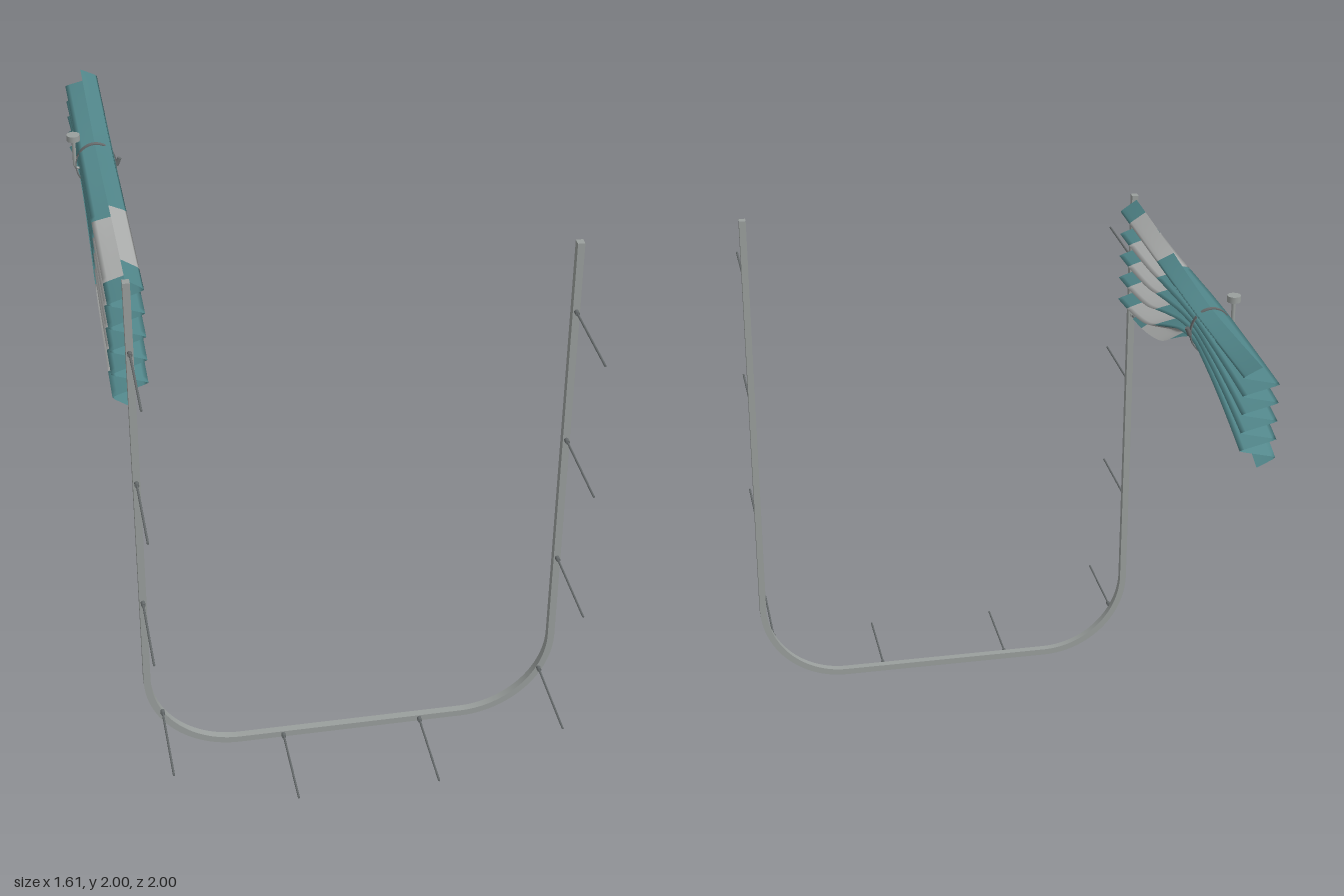
import * as THREE from 'three';
import { toCreasedNormals } from 'three/addons/utils/BufferGeometryUtils.js';

const mat = (name, color, side = THREE.FrontSide) => {
  const m = new THREE.MeshStandardMaterial({ color, side });
  m.name = name;
  return m;
};

export function createModel() {
  const root = new THREE.Group();
  root.name = 'curtainRail';
  const metal = mat('grey metal', 0x9a9f9d);
  const dark = mat('dark metal', 0x676c6d);
  const teal = mat('teal cloth', 0x51868a, THREE.DoubleSide);
  const pale = mat('pale cloth', 0xadafae, THREE.DoubleSide);

  const add = (name, geo, material, x = 0, y = 0, z = 0, parent = root) => {
    const m = new THREE.Mesh(geo, material);
    m.name = name;
    m.position.set(x, y, z);
    parent.add(m);
    return m;
  };

  // U-shaped rail: outline with rounded corners, extruded in z
  const L = -0.722, R = 0.803, T = 0.025, C = 0.345;
  const s = new THREE.Shape();
  s.moveTo(L, 2);
  s.lineTo(L, C);
  s.absarc(L + C, C, C, Math.PI, Math.PI * 1.5, false);
  s.lineTo(R - C, 0);
  s.absarc(R - C, C, C, Math.PI * 1.5, Math.PI * 2, false);
  s.lineTo(R, 2);
  s.lineTo(R - T, 2);
  s.lineTo(R - T, C);
  s.absarc(R - C, C, C - T, 0, -Math.PI / 2, true);
  s.lineTo(L + C, T);
  s.absarc(L + C, C, C - T, -Math.PI / 2, -Math.PI, true);
  s.lineTo(L + T, 2);
  s.closePath();
  const railGeo = new THREE.ExtrudeGeometry(s, { depth: 0.028, bevelEnabled: false, curveSegments: 24 });
  add('rail', toCreasedNormals(railGeo, 0.5), metal, 0, 0, 0.627);

  // Suspension rods with collars
  const rodGeo = new THREE.CylinderGeometry(0.004, 0.004, 0.35, 8).rotateX(Math.PI / 2);
  const collarGeo = new THREE.CylinderGeometry(0.008, 0.008, 0.02, 10).rotateX(Math.PI / 2);
  const rods = [[-0.215, 0.014], [0.3, 0.014], [-0.66, 0.195], [0.75, 0.195]];
  for (const y of [0.705, 1.22, 1.74]) rods.push([-0.71, y], [0.79, y]);
  for (const [x, y] of rods) {
    add('suspensionRod', rodGeo, dark, x, y, 0.825);
    add('rodCollar', collarGeo, dark, x, y, 0.664);
  }

  // Pleated curtain: a zigzag section whose upper and lower edges follow two curves
  const edge = (pts) => {
    const c = new THREE.SplineCurve(pts.map(([z, y]) => new THREE.Vector2(z, y)));
    return (z) => {
      let a = 0, b = 1;
      for (let i = 0; i < 24; i++) {
        const m = (a + b) / 2;
        if (c.getPoint(m).x > z) a = m; else b = m;
      }
      return c.getPoint(a).y;
    };
  };
  const upper = edge([[0.62, 1.99], [0.35, 1.985], [0.1, 1.975], [-0.15, 1.962], [-0.42, 1.955], [-0.7, 1.967], [-1, 1.985]]);
  const lower = edge([[0.62, 1.5], [0.4, 1.53], [0.2, 1.58], [0.05, 1.65], [-0.1, 1.72], [-0.25, 1.78],
    [-0.42, 1.812], [-0.6, 1.775], [-0.8, 1.71], [-1, 1.63]]);
  const CX = -0.71, FOLDS = 11, SUB = 6;
  const foldX = (u) => {
    const q = Math.PI / 2;
    const p = u < 1 ? u * q : u < FOLDS - 1 ? q + (u - 1) * Math.PI : q + (FOLDS - 2) * Math.PI + (u - FOLDS + 1) * q;
    return 0.061 * Math.asin(0.985 * Math.sin(p)) / Math.asin(0.985);
  };
  const cloth = (z0, z1, rows) => {
    const pos = [], idx = [], n = FOLDS * SUB;
    for (let j = 0; j <= rows; j++) {
      const z = z0 + (z1 - z0) * j / rows, top = upper(z), h = top - lower(z);
      for (let i = 0; i <= n; i++) {
        pos.push(CX + foldX(i / SUB), top - h * i / n, z);
        if (i < n && j < rows) {
          const a = j * (n + 1) + i, b = a + n + 1;
          idx.push(a, b, a + 1, a + 1, b, b + 1);
        }
      }
    }
    const g = new THREE.BufferGeometry();
    g.setAttribute('position', new THREE.Float32BufferAttribute(pos, 3));
    g.setIndex(idx);
    g.computeVertexNormals();
    return g;
  };
  const curtain = new THREE.Group();
  curtain.name = 'curtain';
  root.add(curtain);
  add('headingBand', cloth(0.612, 0.475, 5), teal, 0, 0, 0, curtain);
  add('paleBand', cloth(0.475, 0.075, 14), pale, 0, 0, 0, curtain);
  add('mainCloth', cloth(0.075, -1, 36), teal, 0, 0, 0, curtain);

  // Runners joining the curtain heading to the rail
  const stemGeo = new THREE.CylinderGeometry(0.004, 0.004, 0.03, 8).rotateX(Math.PI / 2);
  const wheelGeo = new THREE.CylinderGeometry(0.009, 0.009, 0.008, 10).rotateX(Math.PI / 2);
  for (let i = 0; i <= FOLDS; i++) {
    const y = 1.975 - i * 0.042;
    add('runnerStem', stemGeo, dark, CX, y, 0.614);
    add('runnerWheel', wheelGeo, metal, CX, y, 0.618);
  }

  // Tieback strap: a thin loop around the gathered cloth
  const strap = new THREE.Shape().absellipse(0, 0, 0.075, 0.085, 0, Math.PI * 2);
  strap.holes.push(new THREE.Path().absellipse(0, 0, 0.071, 0.081, 0, Math.PI * 2));
  const strapGeo = new THREE.ExtrudeGeometry(strap, { depth: 0.014, bevelEnabled: false, curveSegments: 20 });
  add('tieStrap', toCreasedNormals(strapGeo, 0.6), dark, CX, 1.875, -0.432);
  const clasp = add('strapClasp', new THREE.CylinderGeometry(0.008, 0.008, 0.03, 8), dark, -0.63, 1.88, -0.425);
  clasp.rotation.z = -0.4;

  // Tieback post: disc, stem and hook
  add('postDisc', new THREE.CylinderGeometry(0.024, 0.024, 0.022, 12), metal, -0.786, 1.989, -0.425);
  add('postStem', new THREE.CylinderGeometry(0.007, 0.007, 0.1, 10), metal, -0.786, 1.93, -0.425);
  const hook = new THREE.TorusGeometry(0.014, 0.005, 6, 14, Math.PI).rotateZ(Math.PI);
  add('postHook', hook, metal, -0.772, 1.88, -0.425);
  return root;
}
